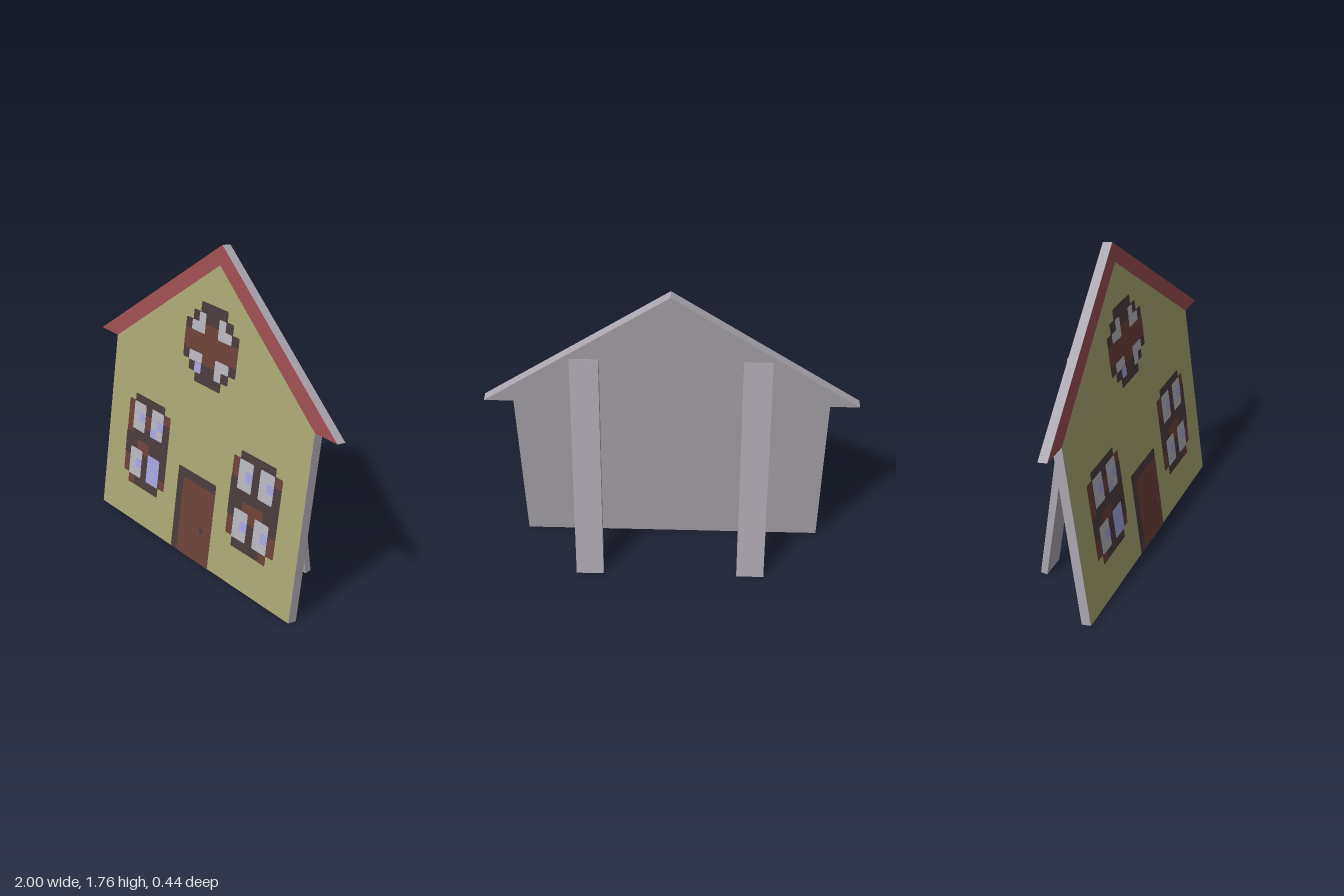
import * as THREE from 'three';

const mat = (name, color) => {
  const m = new THREE.MeshStandardMaterial({ color });
  m.name = name;
  return m;
};
const board = mat('grey board', 0xaca7b0);
const wall = mat('olive wall', 0xa9a772);
const roofRed = mat('roof red', 0x9b4d50);
const dark = mat('dark frame', 0x483b3c);
const brown = mat('brown wood', 0x6c4239);
const glass = mat('pale glass', 0xb6b4bc);
const tint = mat('lavender glass', 0xa3a3dc);

const CELL = 0.0555;
const LAYER = 0.0012;

const polygon = (points) => new THREE.Shape(points.map(([x, y]) => new THREE.Vector2(x, y)));

// Rectangle with slightly softened corners
function softRect(x0, y0, x1, y1, r = 0.008) {
  const s = new THREE.Shape();
  s.absarc(x1 - r, y1 - r, r, 0, Math.PI / 2);
  s.absarc(x0 + r, y1 - r, r, Math.PI / 2, Math.PI);
  s.absarc(x0 + r, y0 + r, r, Math.PI, Math.PI * 1.5);
  s.absarc(x1 - r, y0 + r, r, Math.PI * 1.5, Math.PI * 2);
  s.closePath();
  return s;
}

// Painted face lying just in front of the board
function paint(parent, name, shapes, material, layer) {
  const mesh = new THREE.Mesh(new THREE.ShapeGeometry(shapes, 3), material);
  mesh.name = name;
  mesh.position.z = layer * LAYER;
  parent.add(mesh);
}

// Window drawn as cell rectangles [column0, row0, column1, row1], back to front
function paintWindow(parent, name, x, y, layers) {
  const g = new THREE.Group();
  g.name = name;
  g.position.set(x, y, 0);
  layers.forEach(([part, material, rects], i) => {
    const shapes = rects.map((r) => softRect(...r.map((c) => c * CELL)));
    // neighbouring rectangles may overlap within one colour
    paint(g, part, shapes, material, i + 2);
  });
  parent.add(g);
}

export function createModel() {
  const model = new THREE.Group();
  model.name = 'houseFacade';

  // Leaning facade: local z = 0 is its front face
  const facade = new THREE.Group();
  facade.name = 'facade';
  facade.position.set(0, 0.007, 0.22);
  facade.rotation.x = -0.137;
  model.add(facade);

  const W = 0.842, EAVE = 1.038, APEX = 1.765, THICK = 0.052;
  const outline = polygon([[-W, 0], [W, 0], [W, EAVE], [1, EAVE], [0, APEX], [-1, EAVE], [-W, EAVE]]);
  const panelGeo = new THREE.ExtrudeGeometry(outline, { depth: THICK, bevelEnabled: false });
  panelGeo.translate(0, 0, -THICK);
  const panel = new THREE.Mesh(panelGeo, board);
  panel.name = 'panel';
  facade.add(panel);

  paint(facade, 'wallFace', polygon([[-W, 0], [W, 0], [W, EAVE], [0, 1.658], [-W, EAVE]]), wall, 1);
  paint(facade, 'roofTrim',
    polygon([[-1, EAVE], [-W, EAVE], [0, 1.658], [W, EAVE], [1, EAVE], [0, APEX]]), roofRed, 1);

  // Door
  paint(facade, 'doorFrame', softRect(-0.16, 0, 0.17, 0.493), dark, 2);
  paint(facade, 'doorLeaf', softRect(-0.107, 0, 0.17, 0.44), brown, 3);
  paint(facade, 'doorKnob', softRect(0.07, 0.175, 0.102, 0.208), dark, 4);

  // Ground floor windows
  const panes = [[1, 6, 3, 9], [4, 6, 6, 9], [1, 1, 3, 4], [4, 1, 6, 4]];
  paintWindow(facade, 'rightWindow', -0.663, 0.221, [
    ['corners', brown, [[0, 1, 7, 9]]],
    ['frame', dark, [[1, 0, 6, 9.8]]],
    ['sideFrames', dark, [[0, 3, 7, 5.5], [5.5, 2, 7, 8]]],
    ['woodPatches', brown, [[1, 0, 2, 1], [2, 3.6, 4, 5], [3, 6.5, 4, 8]]],
    ['panes', glass, panes.slice(0, 3)],
    ['tintedPanes', tint, [panes[3], [2, 7, 3, 8], [5, 7, 6, 8], [4, 6, 5, 7], [2, 2, 3, 3]]],
  ]);
  paintWindow(facade, 'leftWindow', 0.283, 0.221, [
    ['corners', brown, [[0, 1, 7, 9]]],
    ['frame', dark, [[1, 0, 6, 9.8]]],
    ['sideFrames', dark, [[0, 3, 7, 7], [5.5, 3, 7, 8]]],
    ['woodPatches', brown, [[5, 0, 6, 1], [2, 4, 5, 5], [3, 3, 4, 4.2]]],
    ['panes', glass, panes],
    ['tints', tint, [[2, 7, 3, 8], [5, 7, 6, 8], [2, 2, 3, 3], [5, 2, 6, 3]]],
  ]);

  // Round gable window
  paintWindow(facade, 'gableWindow', -0.222, 0.996, [
    ['frame', dark, [[2, 0, 6, 8]]],
    ['frameShoulders', dark, [[1, 1, 7, 7]]],
    ['frameSides', dark, [[0, 2, 8, 6]]],
    ['crossBar', brown, [[0, 3, 8, 5]]],
    ['crossPost', brown, [[2, 2, 6, 6]]],
    ['upperPanes', glass, [[1, 5, 3, 6], [5, 5, 7, 6], [1, 2, 3, 3], [5, 2, 7, 3]]],
    ['tallPanes', glass, [[2, 5, 3, 7], [5, 5, 6, 7], [5, 1, 6, 3]]],
    ['tint', tint, [[2, 1, 3, 2]]],
  ]);

  // Rear struts: side profile in (z, y), extruded across x
  const profile = polygon([[-0.18, 0], [-0.003, 1.235], [-0.017, 1.335], [-0.033, 1.34], [-0.217, 0.006]]);
  const STRUT = 0.152;
  const strutGeo = new THREE.ExtrudeGeometry(profile, { depth: STRUT, bevelEnabled: false });
  strutGeo.translate(0, 0, -STRUT / 2);
  strutGeo.rotateY(-Math.PI / 2);
  for (const [name, side] of [['leftStrut', 1], ['rightStrut', -1]]) {
    const strut = new THREE.Mesh(strutGeo, board);
    strut.name = name;
    strut.position.x = side * 0.451;
    model.add(strut);
  }

  return model;
}
